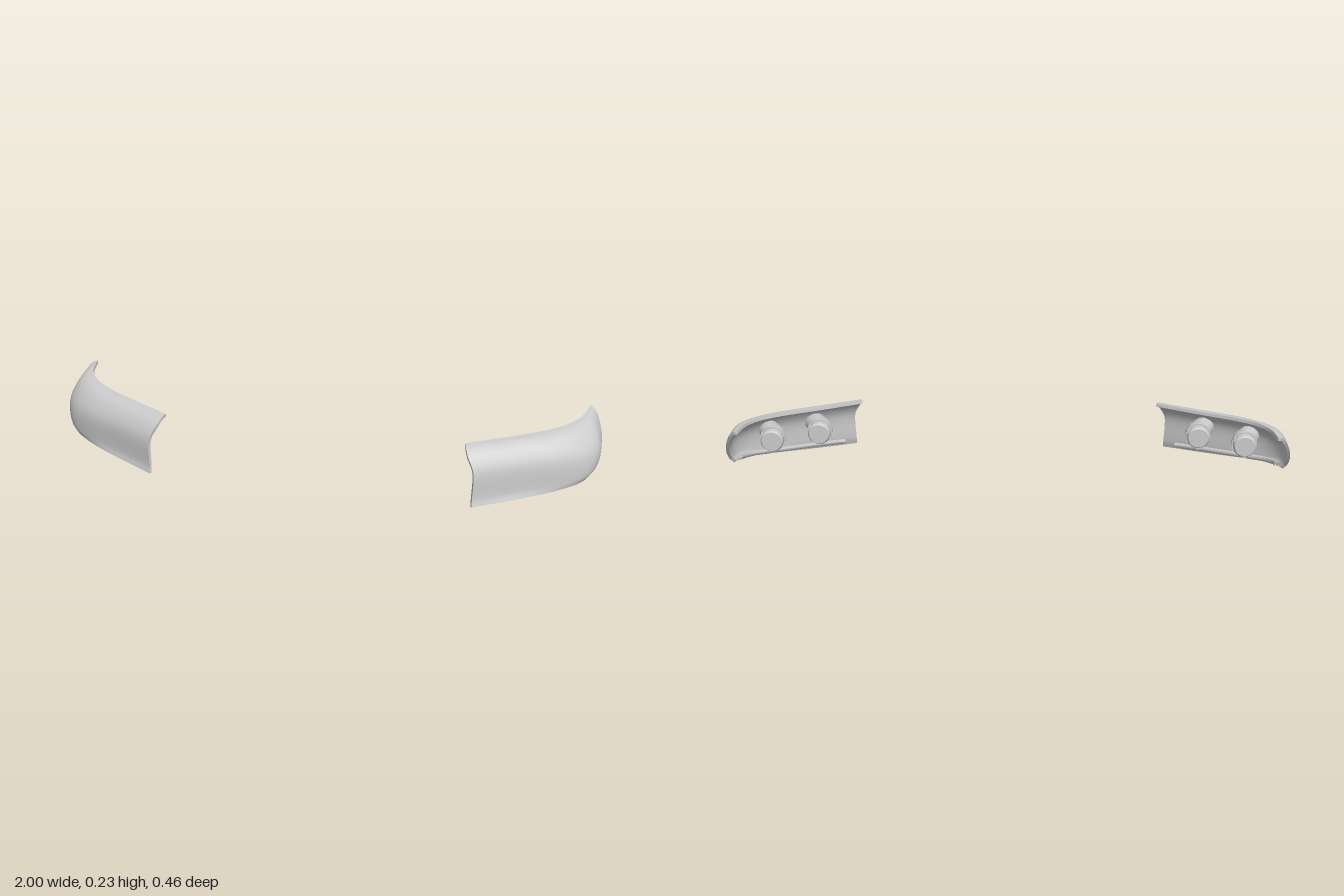
import * as THREE from 'three';

const V = (x, y, z) => new THREE.Vector3(x, y, z);
const grey = new THREE.MeshStandardMaterial({ color: 0xcccccc, side: THREE.DoubleSide });
const NU = 36, NV = 24;

// Lens rails from the inner end round to the rear tip, listed bottom to top
const rails = [
  [[0.585, 0.003, 0.229], [0.75, 0.015, 0.142], [0.87, 0.025, 0.07], [0.945, 0.037, 0.008], [0.975, 0.05, -0.055], [0.98, 0.066, -0.12]],
  [[0.585, 0.028, 0.222], [0.75, 0.037, 0.135], [0.88, 0.046, 0.065], [0.96, 0.06, 0.005], [0.99, 0.075, -0.055], [0.993, 0.088, -0.134]],
  [[0.585, 0.13, 0.215], [0.75, 0.132, 0.128], [0.88, 0.134, 0.058], [0.96, 0.136, -0.005], [0.993, 0.138, -0.065], [0.995, 0.14, -0.168]],
  [[0.562, 0.178, 0.196], [0.725, 0.182, 0.11], [0.855, 0.187, 0.037], [0.93, 0.192, -0.028], [0.967, 0.198, -0.095], [0.974, 0.202, -0.206]],
  [[0.55, 0.199, 0.17], [0.71, 0.204, 0.085], [0.835, 0.209, 0.015], [0.905, 0.215, -0.05], [0.943, 0.22, -0.115], [0.957, 0.225, -0.219]],
  [[0.543, 0.205, 0.142], [0.69, 0.209, 0.06], [0.81, 0.215, -0.01], [0.882, 0.221, -0.07], [0.922, 0.226, -0.135], [0.941, 0.23, -0.226]],
].map(r => new THREE.CatmullRomCurve3(r.map(p => V(...p))));

// Smooth surface through a grid of points; rows run along u, columns along v
function gridGeometry(rows, flip = false) {
  const nv = rows[0].length, index = [];
  for (let i = 0; i < rows.length - 1; i++)
    for (let j = 0; j < nv - 1; j++) {
      const a = i * nv + j, b = a + nv, c = b + 1, d = a + 1;
      index.push(...(flip ? [a, c, b, a, d, c] : [a, b, c, a, c, d]));
    }
  const g = new THREE.BufferGeometry().setFromPoints(rows.flat());
  g.setIndex(index);
  g.computeVertexNormals();
  return g;
}

function mesh(name, geometry) {
  const m = new THREE.Mesh(geometry, grey);
  m.name = name;
  return m;
}

// Curved lens shell with thickness, plus a ledge inside the lower edge
function lensShell() {
  const outer = [];
  for (let i = 0; i <= NU; i++) {
    const section = new THREE.CatmullRomCurve3(rails.map(r => r.getPoint(i / NU)));
    outer.push(section.getPoints(NV));
  }
  const outerGeo = gridGeometry(outer);
  const n = outerGeo.attributes.normal;
  const normalAt = (i, j) => V().fromBufferAttribute(n, i * (NV + 1) + j);
  const inner = outer.map((row, i) => row.map((p, j) => p.clone().addScaledVector(normalAt(i, j), -0.011)));

  // Rim joining the two skins
  const loop = [];
  for (let i = 0; i < NU; i++) loop.push([i, 0]);
  for (let j = 0; j < NV; j++) loop.push([NU, j]);
  for (let i = NU; i > 0; i--) loop.push([i, NV]);
  for (let j = NV; j >= 0; j--) loop.push([0, j]);
  const rim = loop.map(([i, j]) => [inner[i][j], outer[i][j]]);

  // Ledge: a low ridge following the bottom edge
  const ledge = outer.slice(2, NU - 1).map((row, k) => {
    const d = normalAt(k + 2, 6).setY(0).normalize();
    return [[0.005, 0.002], [0.026, 0.008], [0.028, 0.02], [0.02, 0.024], [0.008, 0.02]]
      .map(([inset, up]) => row[0].clone().addScaledVector(d, -inset).add(V(0, up, 0)));
  });

  const g = new THREE.Group();
  g.name = 'lensShell';
  g.add(mesh('outerSkin', outerGeo), mesh('innerSkin', gridGeometry(inner, true)),
    mesh('shellRim', gridGeometry(rim)), mesh('lowerLedge', gridGeometry(ledge, true)));
  return g;
}

// Bulb socket pointing backwards, with a collar angled into the shell
function bulbSocket(x, y, zBack, collarLength) {
  const g = new THREE.Group();
  g.name = 'bulbSocket';
  // each ring: rear radius, front radius, start behind zBack, length
  const rings = [
    ['socketCap', 0.036, 0.041, 0, 0.008],
    ['socketBody', 0.041, 0.041, 0.008, 0.022],
    ['socketBand', 0.046, 0.046, 0.028, 0.012],
    ['socketNeck', 0.041, 0.037, 0.04, 0.035],
  ];
  for (const [name, rRear, rFront, start, length] of rings) {
    const c = new THREE.CylinderGeometry(rFront, rRear, length, 32);
    c.rotateX(Math.PI / 2);
    c.translate(x, y, zBack + start + length / 2);
    g.add(mesh(name, c));
  }
  // Locking tabs
  for (let k = 0; k < 3; k++) {
    const tab = new THREE.BoxGeometry(0.012, 0.008, 0.014);
    tab.translate(0, 0.043, 0);
    tab.rotateZ(k * Math.PI * 2 / 3 + Math.PI);
    tab.translate(x, y, zBack + 0.018);
    g.add(mesh('lockingTab', tab));
  }
  const collar = new THREE.CylinderGeometry(0.037, 0.04, collarLength, 32);
  collar.translate(0, collarLength / 2, 0);
  collar.rotateX(Math.PI / 2);
  collar.rotateY(0.49);
  collar.translate(x, y, zBack + 0.06);
  g.add(mesh('socketCollar', collar));
  return g;
}

// Mirrored copy across x with corrected face order
function mirrored(group) {
  const copy = group.clone(true);
  copy.traverse(o => {
    if (!o.isMesh) return;
    const g = o.geometry = o.geometry.clone();
    const p = g.attributes.position, n = g.attributes.normal, idx = g.index.array;
    for (let i = 0; i < p.count; i++) {
      p.setX(i, -p.getX(i));
      n.setX(i, -n.getX(i));
    }
    for (let i = 0; i < idx.length; i += 3) [idx[i], idx[i + 1]] = [idx[i + 1], idx[i]];
  });
  return copy;
}

export function createModel() {
  const model = new THREE.Group();
  model.name = 'lampPair';
  const left = new THREE.Group();
  left.add(lensShell(), bulbSocket(0.69, 0.125, 0.006, 0.068), bulbSocket(0.848, 0.13, -0.079, 0.06));
  const right = mirrored(left);
  left.name = 'leftLamp';
  right.name = 'rightLamp';
  model.add(left, right);
  return model;
}
